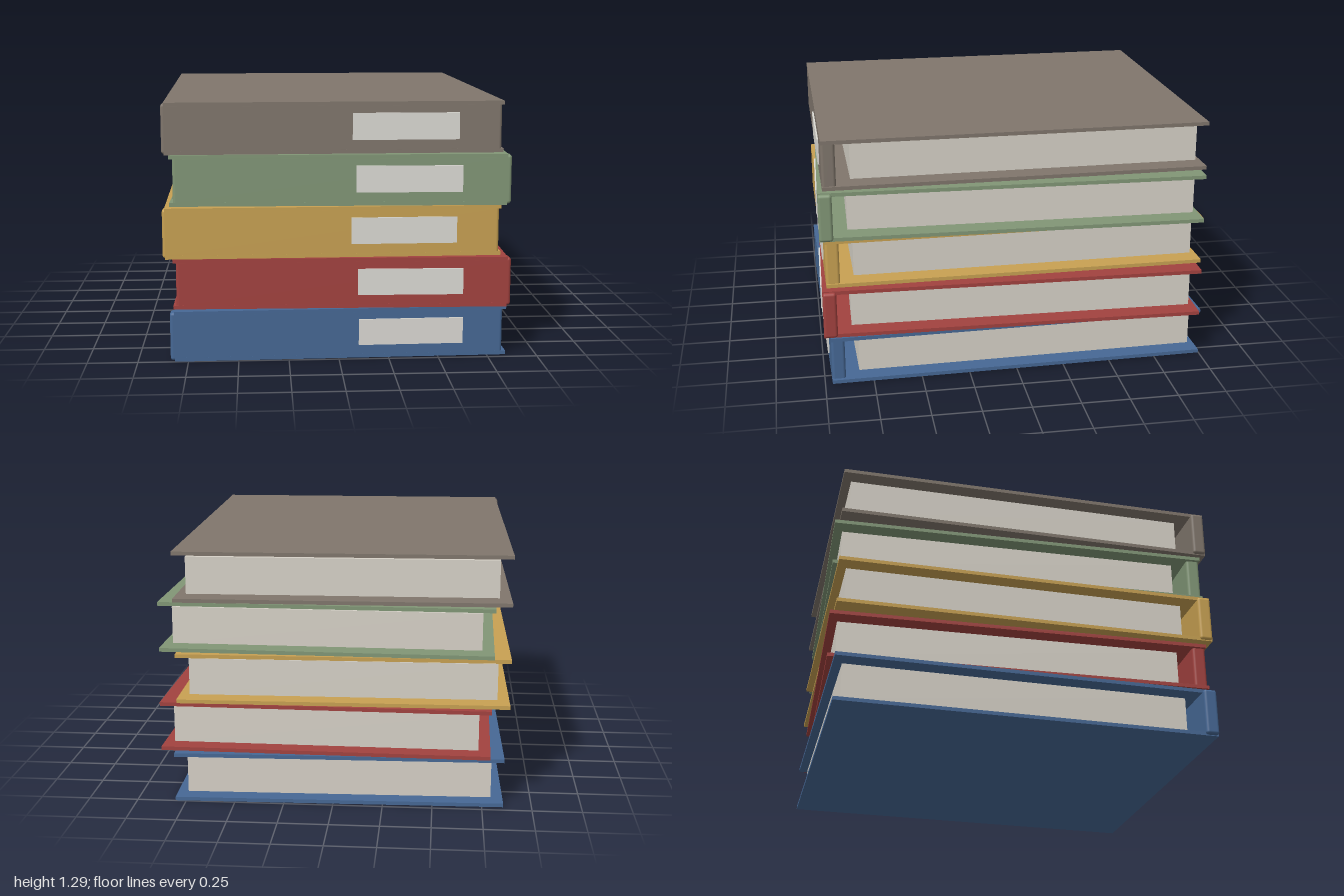
import * as THREE from 'three';
import { RoundedBoxGeometry } from 'three/addons/geometries/RoundedBoxGeometry.js';

const WIDTH = 1.663, DEPTH = 1.96, HEIGHT = 0.254, PITCH = 0.2585, BOARD = 0.019;

// Books from bottom to top: cover colour, sideways shift, twist
const BOOKS = [
  { color: 0x466895, x: -0.006, turn: 0.021 },
  { color: 0xa2423f, x: 0.027, turn: -0.018 },
  { color: 0xc8a152, x: -0.035, turn: 0.011 },
  { color: 0x819676, x: 0.019, turn: -0.02 },
  { color: 0x80766c, x: -0.031, turn: 0.012 },
];

const boardGeometry = new THREE.BoxGeometry(WIDTH, BOARD, DEPTH);
const spineGeometry = new RoundedBoxGeometry(WIDTH + 0.003, 0.245, 0.07, 3, 0.015);
const pagesGeometry = new THREE.BoxGeometry(1.54, 0.186, 1.776);
const labelGeometry = new THREE.BoxGeometry(0.525, 0.132, 0.01);

function createBook({ color, x, turn }, index) {
  const book = new THREE.Group();
  book.name = `book${index + 1}`;
  book.position.set(x, index * PITCH, 0);

  const cover = new THREE.MeshStandardMaterial({ color });
  const paper = new THREE.MeshStandardMaterial({ color: 0xd6d1c7 });
  const card = new THREE.MeshStandardMaterial({ color: 0xdcdad4 });

  // Each part turns about its own centre
  const add = (name, geometry, material, px, py, pz) => {
    const mesh = new THREE.Mesh(geometry, material);
    mesh.name = name;
    mesh.position.set(px, py, pz);
    mesh.rotation.y = turn;
    book.add(mesh);
    return mesh;
  };

  const mid = HEIGHT / 2;
  add('bottomCover', boardGeometry, cover, 0, BOARD / 2, 0);
  add('topCover', boardGeometry, cover, 0, HEIGHT - BOARD / 2, 0);
  add('spine', spineGeometry, cover, 0, mid, 0.945);
  add('pages', pagesGeometry, paper, 0, mid + 0.002, -0.05);

  // The label follows the twisted front of the spine
  const label = add('spineLabel', labelGeometry, card, 0.348, mid + 0.006, 0.983);
  label.position.applyAxisAngle(new THREE.Vector3(0, 1, 0), turn);
  return book;
}

export function createModel() {
  const stack = new THREE.Group();
  stack.name = 'bookStack';
  BOOKS.forEach((spec, i) => stack.add(createBook(spec, i)));
  return stack;
}
